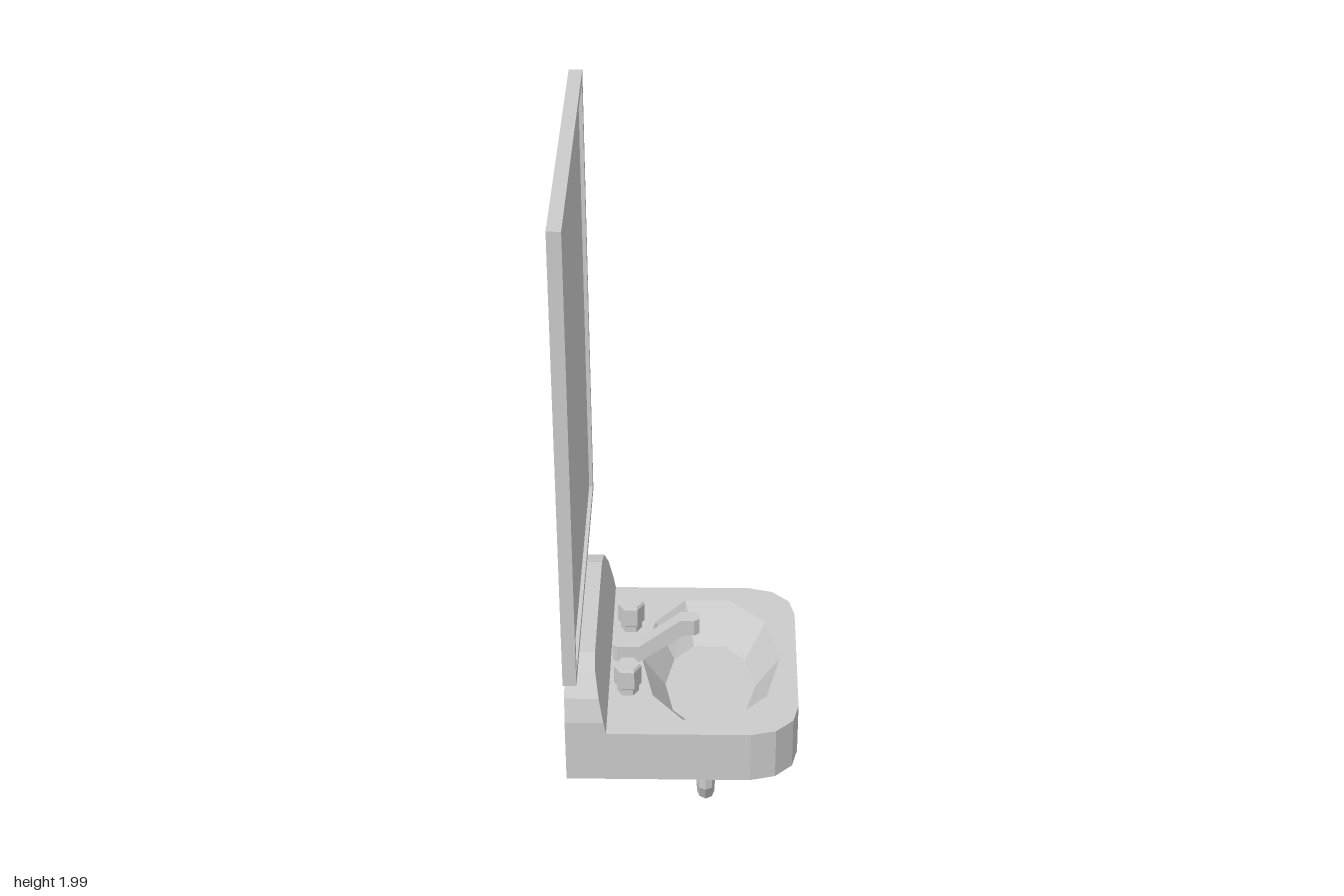
import * as THREE from 'three';

const material = new THREE.MeshStandardMaterial({ color: 0xcccccc, flatShading: true, side: THREE.DoubleSide });
const V = (x, y, z) => new THREE.Vector3(x, y, z);

// Skin a list of rings (each a list of points) with flat quads
function skin(rings, closed = false) {
  const pts = [];
  for (let r = 0; r < rings.length - 1; r++) {
    const a = rings[r], b = rings[r + 1], n = a.length;
    for (let i = 0; i < (closed ? n : n - 1); i++) {
      const j = (i + 1) % n;
      pts.push(a[i], a[j], b[j], a[i], b[j], b[i]);
    }
  }
  const geometry = new THREE.BufferGeometry().setFromPoints(pts);
  geometry.computeVertexNormals();
  return geometry;
}

// Horizontal face from [x, z] points, facing up or down
function plate(points, y, up, hole) {
  const flip = list => list.map(([x, z]) => new THREE.Vector2(x, up ? -z : z));
  const shape = new THREE.Shape(flip(points));
  if (hole) shape.holes.push(new THREE.Path(flip(hole)));
  return new THREE.ShapeGeometry(shape).rotateX(up ? -Math.PI / 2 : Math.PI / 2).translate(0, y, 0);
}

// Curve that passes through its points with straight pieces between them
class Polyline extends THREE.Curve {
  constructor(points) { super(); this.points = points; }
  getPoint(t) {
    const f = t * (this.points.length - 1);
    const i = Math.min(Math.floor(f + 1e-6), this.points.length - 2);
    return this.points[i].clone().lerp(this.points[i + 1], f - i);
  }
  getPointAt(t) { return this.getPoint(t); }
  getTangentAt(t) {
    const p = this.points, i = Math.round(t * (p.length - 1));
    const dir = (a, b) => p[b].clone().sub(p[a]).normalize();
    const before = dir(Math.max(i - 1, 0), Math.max(i, 1));
    const after = dir(Math.min(i, p.length - 2), Math.min(i + 1, p.length - 1));
    return before.add(after).normalize();
  }
}

export function createModel() {
  const model = new THREE.Group();
  const add = (parent, name, geometry) => {
    const mesh = new THREE.Mesh(geometry, material);
    mesh.name = name;
    parent.add(mesh);
    return mesh;
  };
  const group = name => {
    const g = new THREE.Group();
    g.name = name;
    model.add(g);
    return g;
  };
  const midZ = 0.04, bottom = 0.38, deckY = 0.53, bowlY = 0.44, backX = -0.3, deckX = -0.195;
  // Mirror a half outline about the basin's centre line
  const mirrorZ = half => [
    ...half.map(([x, d]) => [x, midZ - d]),
    ...half.filter(([, d]) => d > 0).reverse().map(([x, d]) => [x, midZ + d])];
  const at = (points, y) => points.map(([x, z]) => V(x, y, z));

  // Basin: rounded front, open at the wall side
  const basin = group('basin');
  const corner = [[0.175, 0.32], [0.24, 0.303], [0.285, 0.26], [0.3, 0.2]];
  const outline = mirrorZ([[backX, 0.32], ...corner]);
  const deck = mirrorZ([[deckX, 0.32], ...corner]);
  const rim = mirrorZ([[-0.113, 0], [-0.08, 0.16], [0, 0.26], [0.122, 0.26], [0.218, 0.16], [0.255, 0]].slice(1, 5));
  const drain = mirrorZ([[-0.028, 0.11], [0.025, 0.17], [0.11, 0.17], [0.165, 0.11]]);
  // Points lying on the centre line complete each ten-sided ring
  rim.splice(4, 0, [0.255, midZ]); rim.push([-0.113, midZ]);
  drain.splice(4, 0, [0.193, midZ]); drain.push([-0.05, midZ]);
  add(basin, 'basinWall', skin([at(outline, deckY), at(outline, bottom)]));
  add(basin, 'basinUnderside', plate(outline, bottom, false));
  add(basin, 'basinDeck', plate(deck, deckY, true, rim));
  add(basin, 'bowlSides', skin([at(drain, bowlY), at(rim, deckY)], true));
  add(basin, 'bowlFloor', plate(drain, bowlY, true));

  // Backsplash: rounded arch whose front leans back with height
  const leanX = y => deckX - 0.03 * (y - deckY) / 0.17;
  const half = [[0.32, deckY], [0.32, 0.565], [0.303, 0.63], [0.26, 0.683], [0.2, 0.7]];
  const arch = [
    ...half.map(([d, y]) => [midZ + d, y]),
    ...half.slice().reverse().map(([d, y]) => [midZ - d, y])];
  add(basin, 'backsplashEdge', skin([
    arch.map(([z, y]) => V(leanX(y), y, z)),
    arch.map(([z, y]) => V(backX, y, z))]));
  const face = new THREE.ShapeGeometry(new THREE.Shape(arch.map(([z, y]) => new THREE.Vector2(-z, y))));
  face.rotateY(Math.PI / 2);
  const pos = face.attributes.position;
  for (let i = 0; i < pos.count; i++) pos.setX(i, leanX(pos.getY(i)));
  face.computeVertexNormals();
  add(basin, 'backsplashFace', face);

  // Tap handles: hexagonal knobs on narrower stems
  const taps = group('taps');
  const knob = [[0.029, 0], [0.029, 0.018], [0.036, 0.024], [0.036, 0.078], [0.031, 0.085], [0, 0.085]]
    .map(([r, y]) => new THREE.Vector2(r, y));
  for (const z of [-0.097, 0.177]) {
    add(taps, z > 0 ? 'leftTapHandle' : 'rightTapHandle', new THREE.LatheGeometry(knob, 6, Math.PI / 6))
      .position.set(-0.145, deckY, z);
  }

  // Spout: [x, half width, lower y, upper y] along its length
  const stations = [
    [-0.19, 0.009, 0.53, 0.58], [-0.177, 0.02, 0.53, 0.58], [-0.12, 0.02, 0.53, 0.58],
    [-0.01, 0.02, 0.612, 0.667], [0, 0.02, 0.62, 0.667], [0.026, 0.02, 0.62, 0.667], [0.041, 0.009, 0.62, 0.667]];
  const section = ([x, w, lo, hi]) =>
    [V(x, lo, midZ + w), V(x, lo, midZ - w), V(x, hi, midZ - w), V(x, hi, midZ + w)];
  const cap = ([x, , lo, hi]) => Array(4).fill(V(x, (lo + hi) / 2, midZ));
  add(taps, 'spout', skin([cap(stations[0]), ...stations.map(section), cap(stations[6])], true));

  // Drain pipe: down, round the trap, then back to the wall
  const pipe = group('drainPipe');
  const path = [
    V(0.06, 0.385, 0.045), V(0.06, 0.1, 0.045), V(0.06, 0.052, 0.02), V(0.06, 0.033, -0.025),
    V(0.06, 0.052, -0.07), V(0.06, 0.1, -0.095), V(0.06, 0.21, -0.095),
    V(0.045, 0.245, -0.1), V(0, 0.27, -0.107), V(backX, 0.27, -0.107)];
  add(pipe, 'trapPipe', new THREE.TubeGeometry(new Polyline(path), path.length - 1, 0.025, 8));
  add(pipe, 'pipeEnd', new THREE.CircleGeometry(0.025, 8).rotateY(-Math.PI / 2)).position.copy(path[path.length - 1]);

  // Wall mirror: rectangular frame with a recessed pane
  const mirror = group('mirror');
  mirror.position.set(-0.2775, 1.375, 0);
  const rect = (C, w, h) => new C([[-w, -h], [w, -h], [w, h], [-w, h]].map(([x, y]) => new THREE.Vector2(x, y)));
  const frame = rect(THREE.Shape, 0.443, 0.625);
  frame.holes.push(rect(THREE.Path, 0.416, 0.6));
  add(mirror, 'mirrorFrame', new THREE.ExtrudeGeometry(frame, { depth: 0.034, bevelEnabled: false })
    .translate(0, 0, -0.017).rotateY(Math.PI / 2));
  add(mirror, 'mirrorPane', new THREE.BoxGeometry(0.014, 1.2, 0.832));

  return model;
}
